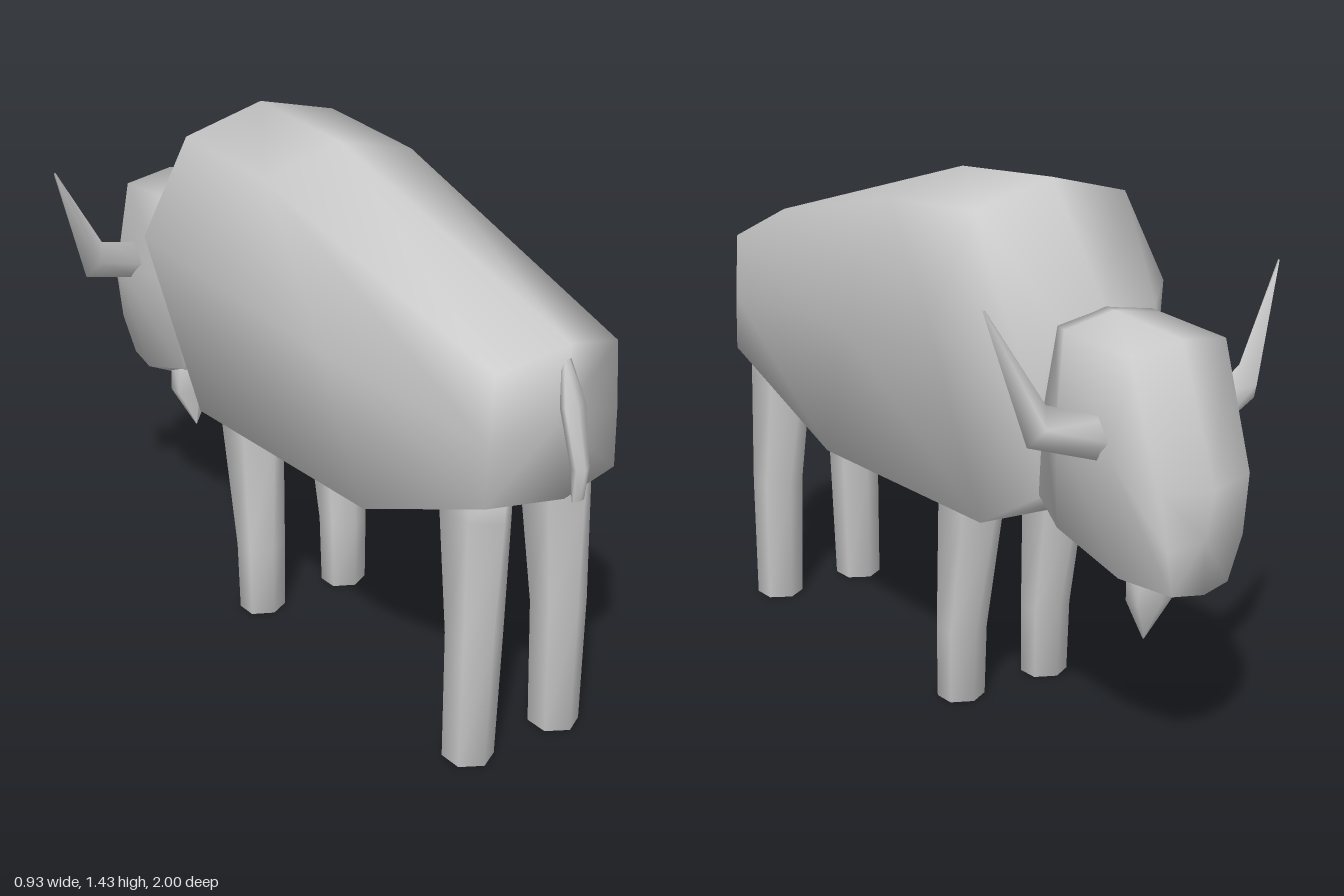
import * as THREE from 'three';

const material = new THREE.MeshStandardMaterial({ color: 0xcccccc });

// Smooth closed skin over rings of equal length, with a fan cap at each end
function loft(name, rings) {
  const n = rings[0].length;
  const pos = rings.flat(2);
  const idx = [];
  for (let r = 0; r < rings.length - 1; r++) {
    for (let i = 0; i < n; i++) {
      const j = (i + 1) % n, a = r * n + i, b = r * n + j;
      idx.push(a, b, b + n, a, b + n, a + n);
    }
  }
  const last = (rings.length - 1) * n;
  [[0, true], [last, false]].forEach(([start, flip]) => {
    const c = pos.length / 3;
    for (let k = 0; k < 3; k++) {
      let sum = 0;
      for (let i = 0; i < n; i++) sum += pos[(start + i) * 3 + k];
      pos.push(sum / n);
    }
    for (let i = 0; i < n; i++) {
      const a = start + i, b = start + (i + 1) % n;
      idx.push(c, flip ? b : a, flip ? a : b);
    }
  });
  // Turn the skin outward if its enclosed volume is negative
  const v = (i) => new THREE.Vector3().fromArray(pos, i * 3);
  let volume = 0;
  for (let t = 0; t < idx.length; t += 3) {
    volume += v(idx[t]).dot(v(idx[t + 1]).cross(v(idx[t + 2])));
  }
  if (volume < 0) idx.reverse();
  const geo = new THREE.BufferGeometry();
  geo.setAttribute('position', new THREE.Float32BufferAttribute(pos, 3));
  geo.setIndex(idx);
  geo.computeVertexNormals();
  const mesh = new THREE.Mesh(geo, material);
  mesh.name = name;
  return mesh;
}

// Full ring from a half section running from top centre to bottom centre
const mirrored = (half) => [
  ...half,
  ...half.slice(1, -1).reverse().map(([x, y, z]) => [-x, y, z]),
];

// Level ring: centre, half width in x, half depth in z; corners point along z
function levelRing([x, y, z, rx, rz], sides = 6) {
  return Array.from({ length: sides }, (_, i) => {
    const a = (i / sides) * Math.PI * 2;
    return [x + Math.sin(a) * rx, y, z + Math.cos(a) * rz];
  });
}

// Ring tilted about z: angle t turns its plane in xy
function tiltedRing([x, y, z, r, rz, t], sides = 4) {
  return Array.from({ length: sides }, (_, i) => {
    const a = (i / sides) * Math.PI * 2;
    const u = Math.sin(a) * r;
    return [x + Math.cos(t) * u, y + Math.sin(t) * u, z + Math.cos(a) * rz];
  });
}

export function createModel() {
  const model = new THREE.Group();
  model.name = 'bison';

  // Body: rump, loin, shoulder hump, neck
  model.add(loft('body', [
    [[0, 1.15, 0.93], [0.19, 1.10, 0.885], [0.2, 0.92, 0.885], [0.205, 0.76, 0.88], [0, 0.75, 0.93]],
    [[0, 1.41, 0.01], [0.237, 1.35, 0], [0.23, 0.95, 0.25], [0.2, 0.56, 0.39], [0, 0.535, 0.39]],
    [[0, 1.435, -0.37], [0.24, 1.375, -0.37], [0.38, 1.12, -0.37], [0.22, 0.565, -0.37], [0, 0.555, -0.37]],
    [[0, 1.14, -0.59], [0.16, 1.13, -0.59], [0.19, 0.9, -0.56], [0.15, 0.66, -0.52], [0, 0.64, -0.52]],
  ].map(mirrored)));

  // Head: nape, jaw back, brow, face
  model.add(loft('head', [
    [[0, 1.145, -0.58], [0.15, 1.12, -0.58], [0.17, 0.9, -0.56], [0.15, 0.67, -0.52], [0, 0.65, -0.52]],
    [[0, 1.142, -0.62], [0.155, 1.115, -0.62], [0.175, 0.88, -0.62], [0.145, 0.6, -0.59], [0, 0.57, -0.59]],
    [[0, 1.12, -0.87], [0.15, 1.1, -0.86], [0.2, 0.86, -0.85], [0.13, 0.53, -0.81], [0, 0.47, -0.82]],
    [[0, 0.78, -1], [0.14, 0.79, -0.97], [0.12, 0.64, -0.975], [0.09, 0.52, -0.96], [0, 0.51, -0.975]],
  ].map(mirrored)));

  // Beard
  model.add(loft('beard', [
    [0, 0.56, -0.78, 0.06, 0.06],
    [0, 0.44, -0.78, 0.068, 0.045],
    [0, 0.325, -0.76, 0.002, 0.002],
  ].map((r) => levelRing(r))));

  // Tail
  model.add(loft('tail', [
    [0, 1.11, 0.915, 0.012, 0.01],
    [0, 1.0, 0.945, 0.037, 0.02],
    [0, 0.85, 0.98, 0.024, 0.02],
    [0, 0.765, 0.978, 0.02, 0.006],
  ].map((r) => levelRing(r))));

  for (const [side, s] of [['left', 1], ['right', -1]]) {
    // Horn: root in the temple, bend, upright tip
    model.add(loft(`${side}Horn`, [
      [0.15, 0.88, -0.8, 0.055, 0.055, Math.PI / 2],
      [0.335, 0.935, -0.745, 0.055, 0.037, 2.1],
      [0.464, 1.225, -0.71, 0.003, 0.003, 2.8],
    ].map((r) => tiltedRing(r).map(([x, y, z]) => [x * s, y, z]))));

    // Front leg: hoof, knee, shoulder
    model.add(loft(`${side}FrontLeg`, [
      [0.143 * s, 0, -0.18, 0.066, 0.06],
      [0.143 * s, 0.2, -0.183, 0.069, 0.065],
      [0.14 * s, 0.55, -0.22, 0.078, 0.107],
      [0.14 * s, 0.66, -0.23, 0.078, 0.115],
    ].map((r) => levelRing(r))));

    // Hind leg: hoof, hock, thigh
    model.add(loft(`${side}HindLeg`, [
      [0.143 * s, 0, 0.77, 0.067, 0.068],
      [0.138 * s, 0.36, 0.775, 0.073, 0.075],
      [0.128 * s, 0.69, 0.755, 0.08, 0.11],
      [0.126 * s, 0.8, 0.755, 0.075, 0.115],
    ].map((r) => levelRing(r))));
  }
  return model;
}
